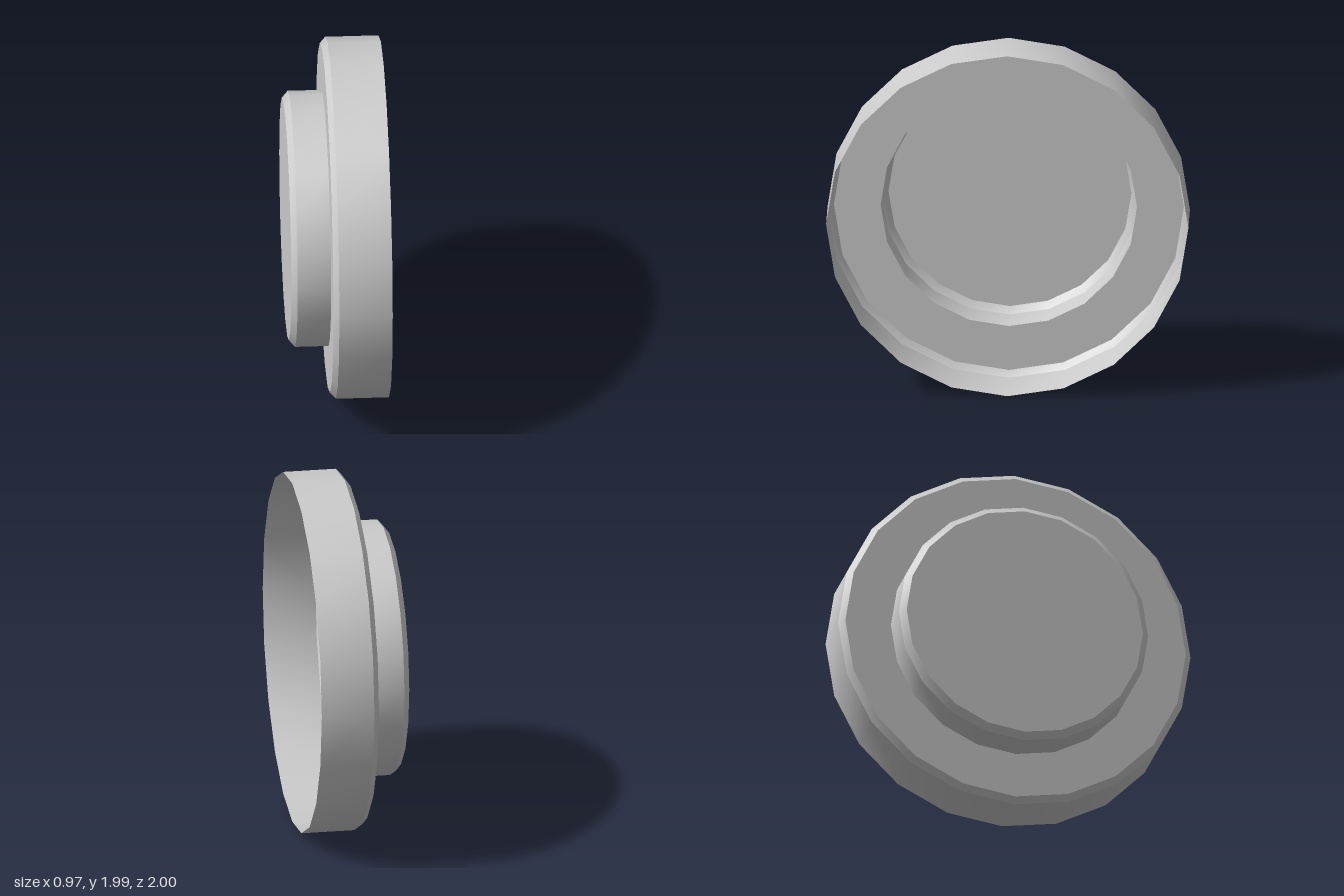
import * as THREE from 'three';
import { toCreasedNormals } from 'three/addons/utils/BufferGeometryUtils.js';

const SIDES = 20;
const RADIUS = 0.995;
const TILT = THREE.MathUtils.degToRad(15.6);

const material = new THREE.MeshStandardMaterial({ color: 0xcccccc, side: THREE.DoubleSide });

// Turned sheet from [radius, height] pairs: smooth around, sharp at profile corners
function turnedShell(name, profile) {
  const points = profile.map(([r, h]) => new THREE.Vector2(r, h));
  const geometry = toCreasedNormals(new THREE.LatheGeometry(points, SIDES), 0.5);
  const mesh = new THREE.Mesh(geometry, material);
  mesh.name = name;
  return mesh;
}

export function createModel() {
  const dish = new THREE.Group();
  dish.name = 'steppedDish';

  // Small recessed cup: flat floor, chamfer, wall
  dish.add(turnedShell('innerCup', [
    [0, -0.325], [0.667, -0.325], [0.704, -0.292], [0.704, -0.108],
  ]));

  // Large rim: flat ring, chamfer, wall open at the end
  dish.add(turnedShell('outerRim', [
    [0.704, -0.108], [0.961, -0.108], [RADIUS, -0.077], [RADIUS, 0.216],
  ]));

  // Lay the axis along x, then turn the open side slightly towards the front
  dish.rotation.set(0, -TILT, -Math.PI / 2, 'YXZ');
  dish.position.set(0.005, RADIUS, -0.02);

  const model = new THREE.Group();
  model.add(dish);
  return model;
}
